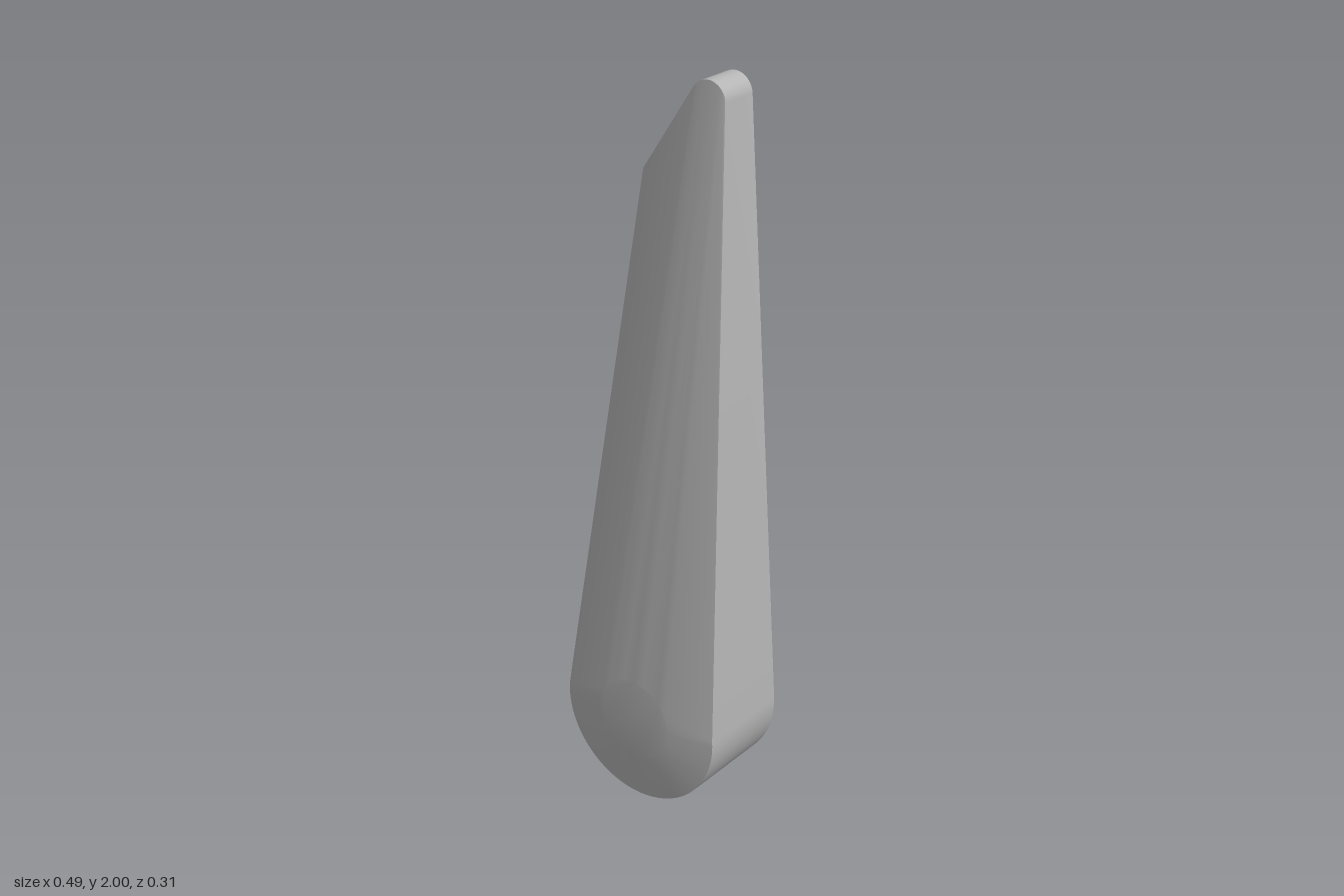
import * as THREE from 'three';
import { ConvexGeometry } from 'three/addons/geometries/ConvexGeometry.js';
import { toCreasedNormals } from 'three/addons/utils/BufferGeometryUtils.js';

const BACK = -0.157, TIP_FRONT = -0.045, BASE_FRONT = 0.13, CROWN = 0.156;

// Points along a circular arc, angles in degrees
function arc(cx, cy, r, from, to, steps) {
  return Array.from({ length: steps + 1 }, (_, i) => {
    const a = THREE.MathUtils.degToRad(from + ((to - from) * i) / steps);
    return [cx + r * Math.cos(a), cy + r * Math.sin(a)];
  });
}

export function createModel() {
  const group = new THREE.Group();
  group.name = 'taperedBlade';
  const grey = new THREE.MeshStandardMaterial({ color: 0xb4b4b4 });
  grey.name = 'grey';

  const points = [];
  const add = (x, y, z) => points.push(new THREE.Vector3(x, y, z));

  // Rounded base, with the lower back edge cut away at a slant
  for (const [x, y] of arc(0, 0.247, 0.247, -184, 4, 48)) {
    add(x, y, BASE_FRONT);
    add(x, y, Math.max(BACK, -0.04 - y * 2.93));
  }
  // Straight edge of the cut on the back face
  for (const s of [-1, 1]) add(s * 0.135, 0.04, BACK);

  // Thin, slanted tip: small rounded peak and softened shoulder
  const tip = [
    ...arc(0.086, 1.947, 0.053, 3, 143, 14),
    ...arc(-0.072, 1.722, 0.045, 143, 176, 5),
  ];
  for (const [x, y] of tip) {
    add(x, y, TIP_FRONT);
    add(x, y, BACK);
  }

  // Low flat crown on the front of the base
  for (const [x, y] of arc(0, 0.25, 0.12, 0, 345, 23)) add(x, y, CROWN);

  const blade = new THREE.Mesh(toCreasedNormals(new ConvexGeometry(points), 0.5), grey);
  blade.name = 'blade';
  group.add(blade);
  return group;
}
